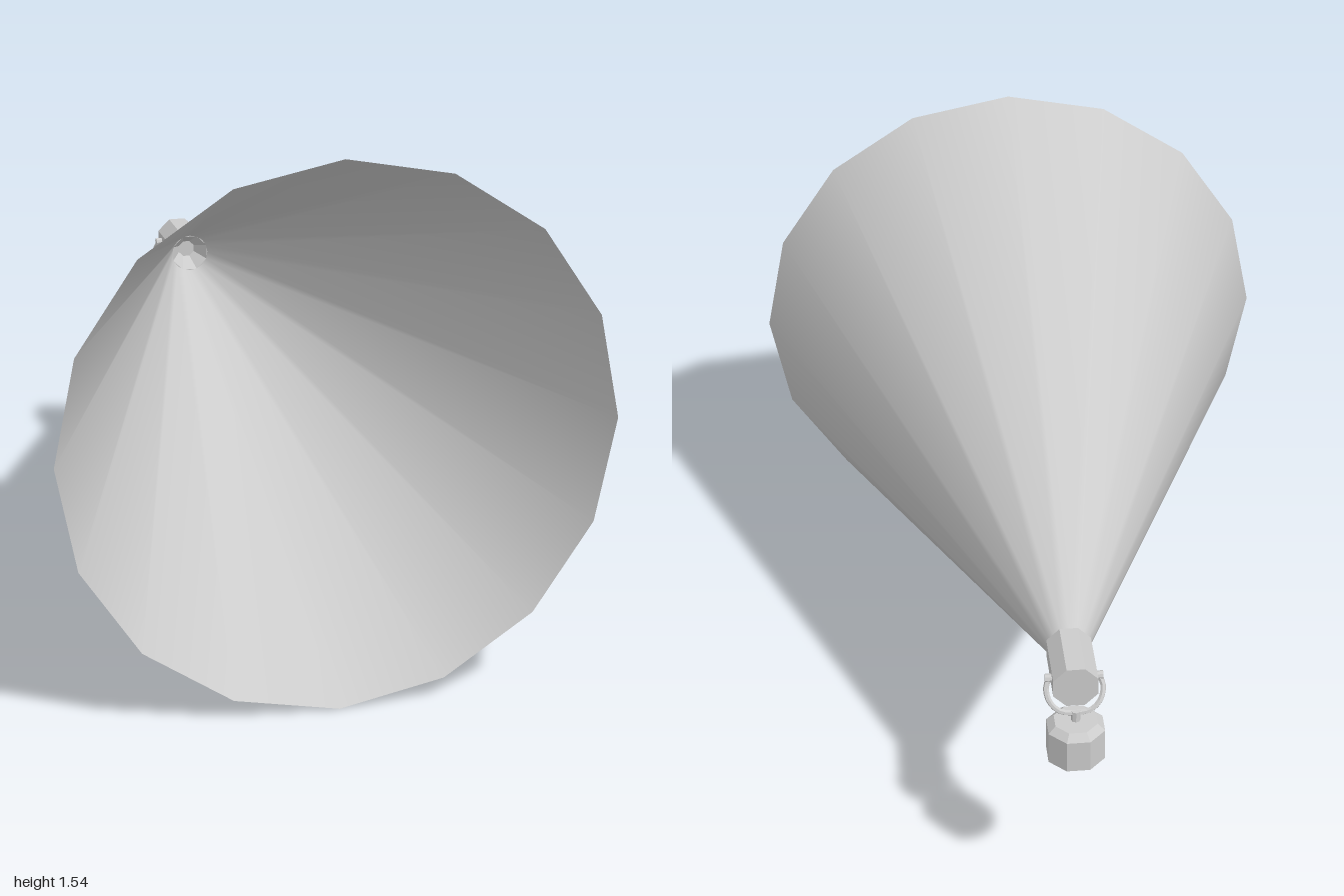
import * as THREE from 'three';

const smooth = new THREE.MeshStandardMaterial({ color: 0xcccccc, side: THREE.DoubleSide });
const faceted = new THREE.MeshStandardMaterial({ color: 0xcccccc, flatShading: true });
const AXIS_Y = 0.772;

export function createModel() {
  const group = new THREE.Group();
  const add = (name, geometry, material, x = 0, y = 0, z = 0) => {
    const mesh = new THREE.Mesh(geometry, material);
    mesh.name = name;
    mesh.position.set(x, y, z);
    group.add(mesh);
    return mesh;
  };
  // eight-sided turned form with flats facing the axes
  const octagonal = (profile) => new THREE.LatheGeometry(
    profile.map(([r, h]) => new THREE.Vector2(r, h)), 8, Math.PI / 8);

  // flared open horn
  const horn = new THREE.CylinderGeometry(0.768, 0.057, 1.74, 16, 1, true);
  horn.rotateX(Math.PI / 2);
  add('horn', horn, smooth, 0, AXIS_Y, 0.13);

  // throat housing with a recessed funnel at its mouth
  const throat = octagonal([
    [0, -0.92], [0.066, -0.92], [0.066, -0.74],
    [0.058, -0.74], [0.026, -0.79], [0, -0.79],
  ]);
  throat.rotateX(Math.PI / 2);
  add('throat', throat, faceted, 0, AXIS_Y, 0);

  // driver hanging below the throat, with a chamfered top
  add('driver', octagonal([
    [0, 0.548], [0.083, 0.548], [0.083, 0.645], [0.062, 0.664], [0, 0.664],
  ]), faceted, 0, 0, -0.922);
  add('driverStem', new THREE.CylinderGeometry(0.013, 0.013, 0.035, 8), faceted, 0, 0.678, -0.922);

  // bent wire bail and its two pivots
  const half = [[0.066, 0.775, -0.875], [0.077, 0.755, -0.886], [0.07, 0.72, -0.907], [0.043, 0.695, -0.92]];
  const path = [
    ...half.map(([x, y, z]) => new THREE.Vector3(-x, y, z)),
    new THREE.Vector3(0, 0.688, -0.922),
    ...half.reverse().map(([x, y, z]) => new THREE.Vector3(x, y, z)),
  ];
  add('bail', new THREE.TubeGeometry(new THREE.CatmullRomCurve3(path), 20, 0.008, 6), faceted);
  for (const side of [-1, 1]) {
    const pivot = new THREE.CylinderGeometry(0.012, 0.012, 0.022, 8);
    pivot.rotateZ(Math.PI / 2);
    add(side > 0 ? 'leftPivot' : 'rightPivot', pivot, faceted, side * 0.068, 0.775, -0.875);
  }
  return group;
}
